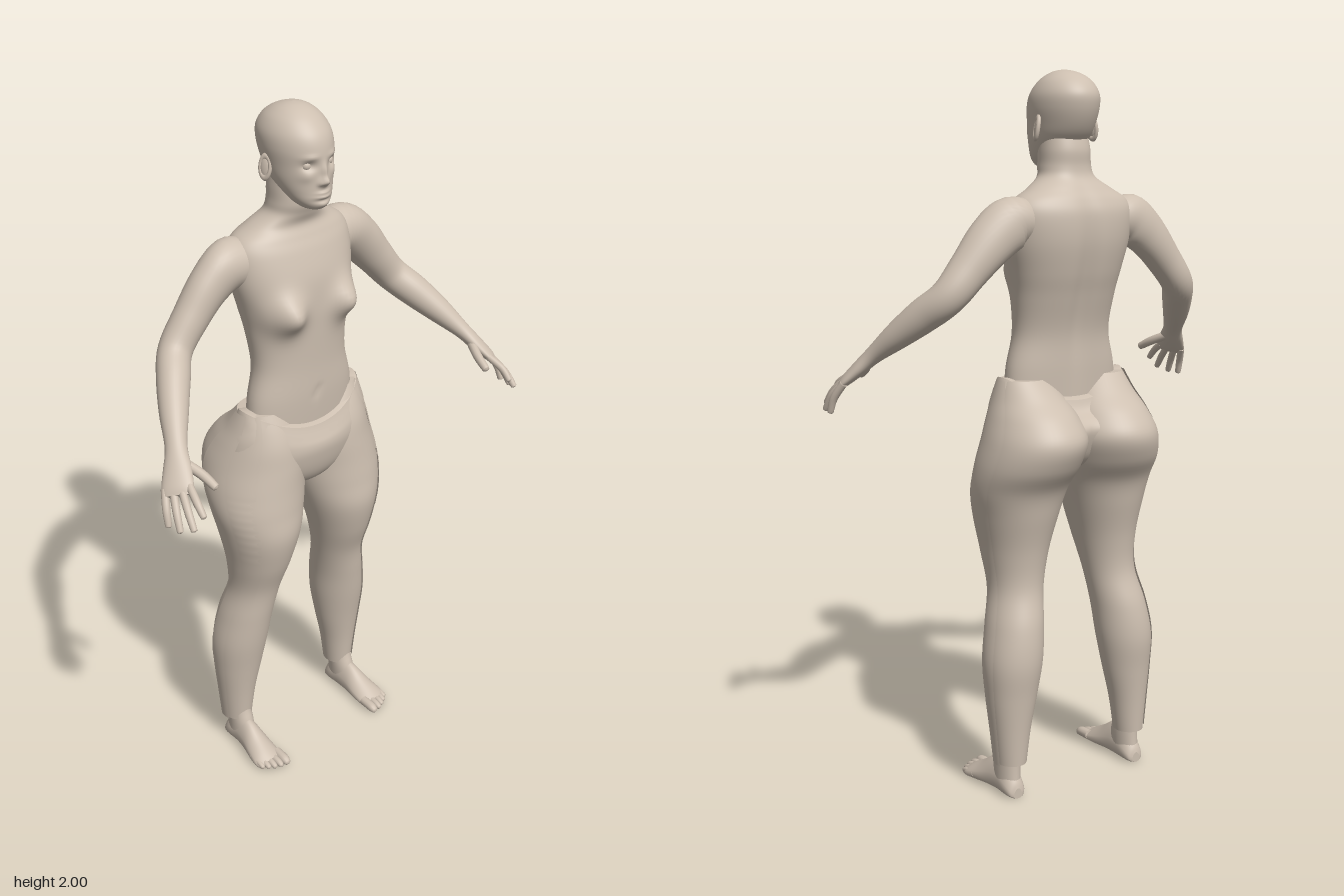
import * as THREE from 'three';

const V = (x, y, z) => new THREE.Vector3(x, y, z);
const clay = new THREE.MeshStandardMaterial({ color: 0xcdbfb0, side: THREE.DoubleSide });
clay.name = 'clay';

// Catmull-Rom interpolation of table rows, k steps per row
function smooth(rows, k) {
  const out = [];
  const at = i => rows[Math.max(0, Math.min(rows.length - 1, i))];
  for (let i = 0; i < rows.length - 1; i++) {
    for (let s = 0; s < k; s++) {
      const t = s / k, [a, b, c, d] = [at(i - 1), at(i), at(i + 1), at(i + 2)];
      out.push(b.map((_, j) => 0.5 * (2 * b[j] + (c[j] - a[j]) * t
        + (2 * a[j] - 5 * b[j] + 4 * c[j] - d[j]) * t * t
        + (3 * b[j] - a[j] - 3 * c[j] + d[j]) * t * t * t)));
    }
  }
  out.push(rows[rows.length - 1]);
  return out;
}

// Skin a list of point rings; closed skins get end caps
function skin(name, rings, closed = true) {
  const n = rings[0].length, pos = [], idx = [];
  const add = p => pos.push(p.x, p.y, p.z) / 3 - 1;
  rings.forEach(r => r.forEach(add));
  for (let i = 0; i < rings.length - 1; i++) {
    for (let j = 0; j < (closed ? n : n - 1); j++) {
      const a = i * n + j, b = i * n + (j + 1) % n;
      idx.push(a, b, b + n, a, b + n, a + n);
    }
  }
  if (closed) {
    [rings[0], rings[rings.length - 1]].forEach((r, end) => {
      const mid = add(r.reduce((s, p) => s.add(p), V(0, 0, 0)).divideScalar(n));
      const rim = r.map(add);
      for (let j = 0; j < n; j++) {
        const a = rim[j], b = rim[(j + 1) % n];
        if (end) idx.push(mid, a, b); else idx.push(mid, b, a);
      }
    });
  }
  const g = new THREE.BufferGeometry();
  g.setAttribute('position', new THREE.Float32BufferAttribute(pos, 3));
  g.setIndex(idx);
  g.computeVertexNormals();
  const m = new THREE.Mesh(g, clay);
  m.name = name;
  return m;
}

const mirror = rings => rings.map(r => r.map(p => V(-p.x, p.y, p.z)).reverse());

// Horizontal section [y, xMin, xMax, zFront, zBack] at angle t (0 = front, 90 deg = +x)
function sectionPoint([y, x0, x1, zf, zb], t, out = 0, e = 1) {
  const pw = v => Math.sign(v) * Math.abs(v) ** e;
  return V((x0 + x1) / 2 + ((x1 - x0) / 2 + out) * pw(Math.sin(t)), y,
    (zf + zb) / 2 + ((zf - zb) / 2 + out) * pw(Math.cos(t)));
}

// Upright loft; bumps are [x, y, width, height, depth, side] pushes along z
function upright(rows, n, bumps = [], e = 1) {
  return rows.map(row => Array.from({ length: n }, (_, j) => {
    const t = j / n * Math.PI * 2, p = sectionPoint(row, t, 0, e), { x, y } = p;
    for (const [bx, by, sx, sy, amp, side = 1] of bumps) {
      const w = THREE.MathUtils.smoothstep(Math.cos(t) * side, 0, 0.5);
      p.z += side * amp * w * Math.exp(-(((x - bx) / sx) ** 2) - ((y - by) / sy) ** 2);
    }
    return p;
  }));
}

// Limb along rows [x, y, z, thickness, width], width lying along ref
function limb(rows, n, ref) {
  const c = rows.map(r => V(r[0], r[1], r[2]));
  return rows.map((r, i) => {
    const d = c[Math.min(i + 1, c.length - 1)].clone().sub(c[Math.max(i - 1, 0)]).normalize();
    const u = ref.clone().cross(d).normalize(), v = d.clone().cross(u);
    return Array.from({ length: n }, (_, j) => {
      const t = j / n * Math.PI * 2;
      return c[i].clone().addScaledVector(u, r[3] * Math.cos(t)).addScaledVector(v, r[4] * Math.sin(t));
    });
  });
}

// Tapered digit with a rounded tip, bent through a middle joint
function digit(a, b, c, r, ref) {
  const tip = c.clone().sub(b).normalize().multiplyScalar(r * 0.8), rows = [];
  const put = (p, s) => rows.push([p.x, p.y, p.z, r * s, r * s]);
  put(a, 1); put(b, 1); put(c.clone().sub(tip), 0.85);
  put(c.clone().addScaledVector(tip, -0.3), 0.6); put(c, 0.04);
  return limb(smooth(rows, 4), 12, ref);
}

const sym = rows => rows.map(([y, rx, zf, zb]) => [y, -rx, rx, zf, zb]);

export function createModel() {
  const model = new THREE.Group();
  model.name = 'figure';
  const put = (name, rings, closed) => model.add(skin(name, rings, closed));
  const pair = (name, rings, closed) => {
    put('left ' + name, rings, closed);
    put('right ' + name, mirror(rings), closed);
  };

  // Torso and neck
  const torso = sym([[1.08, .18, .03, -.12], [1.2, .172, .037, -.125], [1.3, .15, .037, -.13],
    [1.4, .157, .04, -.155], [1.47, .17, .04, -.175], [1.55, .188, .035, -.19],
    [1.62, .192, .015, -.19], [1.66, .175, -.003, -.177], [1.69, .128, -.015, -.157],
    [1.72, .083, -.005, -.137], [1.75, .073, .005, -.13], [1.79, .07, .005, -.13], [1.83, .065, 0, -.12]]);
  put('torso', upright(smooth(torso, 6), 96, [[.1, 1.468, .048, .05, .052], [-.1, 1.468, .048, .05, .052],
    [0, 1.42, .03, .22, -.014, -1], [0, 1.215, .012, .012, -.006]], .93));

  // Head with modelled face
  const head = sym([[1.745, .02, .042, .0], [1.752, .036, .052, -.025], [1.77, .054, .059, -.06], [1.795, .068, .058, -.095],
    [1.825, .079, .057, -.13], [1.86, .085, .057, -.153], [1.9, .09, .056, -.168], [1.935, .087, .045, -.17],
    [1.965, .072, .02, -.151], [1.985, .05, -.008, -.122], [1.996, .026, -.035, -.09], [2, .002, -.06, -.064]]);
  const face = [[0, 1.823, .013, .012, .017], [0, 1.848, .009, .022, .01], [0, 1.783, .022, .005, .007],
    [0, 1.793, .02, .004, .006], [0, 1.761, .02, .01, .005], [0, 1.772, .025, .005, -.003]];
  for (const s of [-1, 1]) {
    face.push([s * .036, 1.864, .016, .011, -.011], [s * .036, 1.886, .02, .007, .004],
      [s * .046, 1.838, .016, .014, .004], [s * .013, 1.819, .006, .006, .005]);
  }
  put('head', upright(smooth(head, 8), 112, face));
  for (const s of [-1, 1]) {
    const eye = new THREE.Mesh(new THREE.SphereGeometry(.0135, 20, 14), clay);
    eye.name = 'eye';
    eye.position.set(s * .036, 1.864, .029);
    const ear = new THREE.Group();
    ear.name = 'ear';
    const rim = new THREE.Mesh(new THREE.TorusGeometry(.018, .006, 10, 24), clay);
    rim.name = 'ear rim';
    rim.scale.set(.8, 1.5, 1);
    const bowl = new THREE.Mesh(new THREE.SphereGeometry(.018, 16, 12), clay);
    bowl.name = 'ear bowl';
    bowl.scale.set(.8, 1.5, .35);
    ear.add(rim, bowl);
    ear.position.set(s * .09, 1.848, -.065);
    ear.rotation.set(-.15, s * 1.2, 0, 'YXZ');
    model.add(eye, ear);
  }

  // Arms running into flat palms
  const across = V(.7, -.24, -.67).normalize();
  const arm = [[.12, 1.6, -.09, .05, .055], [.19, 1.603, -.096, .07, .06], [.255, 1.56, -.098, .066, .054],
    [.32, 1.49, -.095, .055, .048], [.38, 1.42, -.085, .048, .045], [.425, 1.37, -.035, .046, .044],
    [.47, 1.315, .025, .037, .038], [.51, 1.26, .085, .024, .029], [.535, 1.222, .122, .02, .037],
    [.558, 1.19, .152, .015, .042], [.568, 1.176, .166, .008, .036]];
  pair('arm', limb(smooth(arm, 6), 32, across));

  // Fingers and thumb
  const tips = [V(.55, 1.142, .25), V(.578, 1.112, .245), V(.597, 1.1, .212), V(.603, 1.098, .17)];
  tips.forEach((tip, i) => {
    const base = V(.558, 1.19, .15).addScaledVector(across, -.031 + i * .021);
    const mid = base.clone().lerp(tip, .55).add(V(.004, .006, .003));
    pair('finger ' + (i + 1), digit(base, mid, tip, .0105, across));
  });
  pair('thumb', digit(V(.52, 1.235, .11), V(.496, 1.212, .165), V(.484, 1.187, .217), .013, across));

  // Trouser hips with a dipped waistline
  const hips = smooth(sym([[.915, .05, 0, -.1], [.94, .12, .03, -.15], [.98, .2, .052, -.185], [1.04, .238, .066, -.205],
    [1.1, .232, .066, -.185], [1.15, .212, .058, -.155], [1.19, .198, .047, -.14]]), 6);
  const hipRings = upright(hips, 72, [[0, 1.02, .02, .08, -.012, -1]], .95);
  hipRings.forEach(r => r.forEach(p => {
    const high = THREE.MathUtils.smoothstep(p.y, 1.02, 1.19);
    p.y -= .07 * high * Math.max(0, 1 - (p.x / .2) ** 2);
  }));
  put('trouser hips', hipRings);

  // Trouser legs, rising into the seat
  const leg = smooth([[.1, .165, .25, -.055, -.15], [.2, .15, .26, -.045, -.157], [.3, .128, .27, -.03, -.167],
    [.4, .11, .274, -.012, -.178], [.5, .1, .257, .003, -.168], [.6, .085, .235, .02, -.141],
    [.7, .062, .243, .055, -.146], [.8, .033, .262, .078, -.168], [.88, .01, .277, .073, -.19],
    [.95, -.008, .275, .066, -.236], [1.02, -.018, .258, .06, -.257], [1.08, 0, .236, .052, -.222],
    [1.13, .025, .215, .035, -.165], [1.18, .06, .197, .01, -.115]], 6);
  pair('trouser leg', upright(leg, 56));

  // Raised side panels, the front one with a zigzag edge
  const panel = (name, from, to, out, zig) => {
    pair(name, leg.map((row, i) => Array.from({ length: 13 }, (_, j) => {
      const jag = zig && row[0] > .74 && row[0] < .96 ? (i % 2) * .12 : 0;
      const t = THREE.MathUtils.lerp((from + jag * 57.3) * Math.PI / 180, to * Math.PI / 180, j / 12);
      return sectionPoint(row, t, out);
    })), false);
  };
  panel('front side panel', 38, 84, .004, true);
  panel('outer side panel', 70, 108, .008, false);

  // Ankles and feet
  pair('ankle', upright(smooth(
    [[.03, .178, .242, -.03, -.135], [.08, .176, .242, -.035, -.132], [.14, .177, .24, -.055, -.132], [.22, .172, .243, -.06, -.14]], 4), 28));
  const foot = smooth([[-.142, .21, .014, .03], [-.134, .21, .026, .05], [-.11, .21, .033, .08], [-.07, .21, .034, .1],
    [-.03, .212, .037, .092], [.015, .215, .044, .064], [.055, .218, .047, .042], [.08, .216, .042, .028]], 5);
  pair('foot', foot.map(([z, cx, w, h]) => Array.from({ length: 32 }, (_, j) => {
    const t = j / 32 * Math.PI * 2, s = Math.sin(t);
    const y = h * .4 + (s > 0 ? h * .6 : h * .4) * Math.sign(s) * Math.abs(s) ** (s > 0 ? 1 : .6);
    return V(cx + w * Math.cos(t) * (s > 0 ? 1 - .25 * s : 1), y, z);
  })));
  const toes = [[.183, .118, .0145], [.205, .115, .0105], [.223, .107, .01], [.239, .097, .0095], [.253, .084, .009]];
  toes.forEach(([x, z, r], i) => pair('toe ' + (i + 1),
    digit(V(x, .02, z - .06), V(x, .018, z - .025), V(x, .012, z), r, V(1, 0, 0))));

  return model;
}
